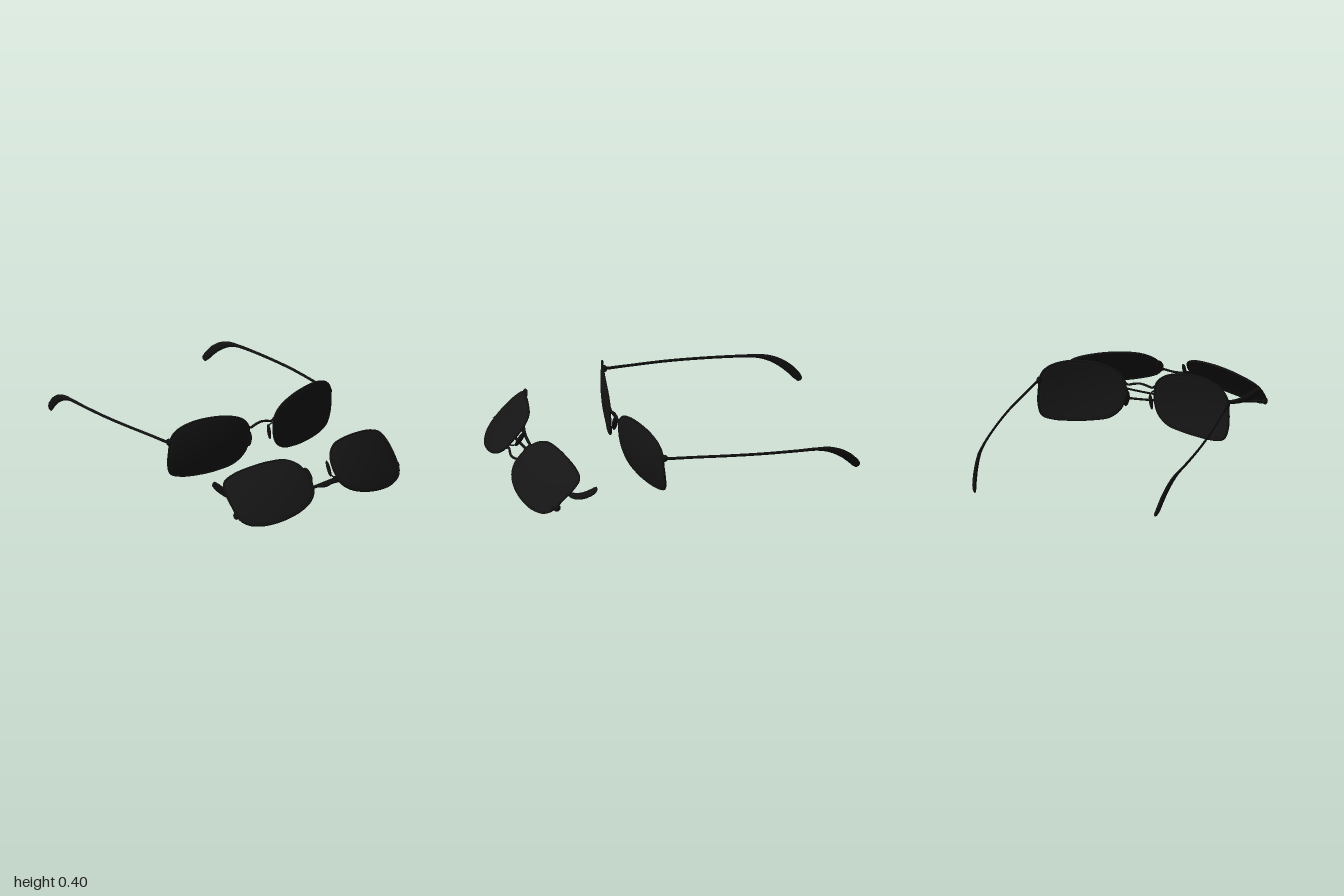
import * as THREE from 'three';

const frameMat = new THREE.MeshStandardMaterial({ color: 0x111111 });
const lensMat = new THREE.MeshStandardMaterial({ color: 0x151515 });
const V = (x, y, z) => new THREE.Vector3(x, y, z);

function mesh(name, geometry, material = frameMat) {
  const m = new THREE.Mesh(geometry, material);
  m.name = name;
  return m;
}

// Surface through rows of closed cross-sections
function loft(rows, cols, point, flip = false) {
  const pos = [], idx = [];
  for (let i = 0; i < rows; i++) {
    for (let j = 0; j < cols; j++) {
      pos.push(...point(i, j).toArray());
      if (i === rows - 1) continue;
      const k = (j + 1) % cols;
      const a = i * cols + j, b = a + cols, c = (i + 1) * cols + k, d = i * cols + k;
      idx.push(...(flip ? [a, c, b, a, d, c] : [a, b, c, a, c, d]));
    }
  }
  const g = new THREE.BufferGeometry();
  g.setAttribute('position', new THREE.Float32BufferAttribute(pos, 3));
  g.setIndex(idx);
  g.computeVertexNormals();
  return g;
}

function wire(points, radius, segments = 24) {
  return new THREE.TubeGeometry(new THREE.CatmullRomCurve3(points), segments, radius, 8);
}

// Wrapped, slightly tilted lens surface, x measured outward from the nose
function lensZ(x, y) {
  const t = (x - 0.1) / 0.47, h = y - 0.21;
  return 0.306 - 0.012 * t - 0.095 * t * t + 0.07 * h - 0.6 * h * h;
}

const OUTLINE = [
  [0.088, 0.22], [0.098, 0.29], [0.14, 0.338], [0.23, 0.375], [0.35, 0.389],
  [0.45, 0.379], [0.53, 0.345], [0.566, 0.3], [0.577, 0.22], [0.575, 0.12],
  [0.553, 0.062], [0.49, 0.039], [0.38, 0.034], [0.27, 0.042], [0.175, 0.064],
  [0.116, 0.115], [0.094, 0.17],
];
const rimPath = (s) => new THREE.CatmullRomCurve3(
  OUTLINE.map(([x, y]) => V(s * x, y, lensZ(x, y))), true);

// Domed lens with a front and a back skin meeting at the rim
function lens(s) {
  const N = 10, M = 64, edge = rimPath(s).getPoints(M);
  const c = V(s * 0.34, 0.21, 0);
  return loft(2 * N + 2, M, (i, j) => {
    const front = i <= N, r = (front ? i : 2 * N + 1 - i) / N;
    const x = c.x + (edge[j].x - c.x) * r, y = c.y + (edge[j].y - c.y) * r;
    return V(x, y, lensZ(Math.abs(x), y) + (front ? 0.004 : -0.004));
  }, s > 0);
}

// Temple stations relative to the hinge: x, y, z, half width, half height
const TEMPLE = [
  [0.002, 0.0, 0.0, 0.005, 0.01], [0.014, -0.01, -0.16, 0.005, 0.009],
  [0.031, -0.026, -0.38, 0.005, 0.009], [0.036, -0.043, -0.58, 0.005, 0.009],
  [0.03, -0.061, -0.79, 0.006, 0.009], [0.021, -0.073, -0.91, 0.007, 0.01],
  [0.014, -0.09, -0.985, 0.009, 0.017], [0.005, -0.122, -1.05, 0.01, 0.022],
  [-0.005, -0.166, -1.107, 0.011, 0.025], [-0.016, -0.218, -1.154, 0.011, 0.024],
  [-0.024, -0.243, -1.173, 0.008, 0.017], [-0.026, -0.25, -1.178, 0.001, 0.001],
];

function temple(s) {
  const path = new THREE.CatmullRomCurve3(TEMPLE.map(([x, y, z]) => V(s * x, y, z)));
  const S = 5, last = TEMPLE.length - 1, X = V(1, 0, 0);
  return loft(S * last + 1, 12, (i, j) => {
    const u = i / (S * last), k = Math.min(Math.floor(i / S), last - 1), f = i / S - k;
    const up = X.clone().cross(path.getTangent(u)).normalize();
    const [rx, ry] = [3, 4].map((n) => THREE.MathUtils.lerp(TEMPLE[k][n], TEMPLE[k + 1][n], f));
    const a = (j / 12) * Math.PI * 2;
    return path.getPoint(u).addScaledVector(X, rx * Math.cos(a)).addScaledVector(up, ry * Math.sin(a));
  });
}

// Smooth ellipsoid lump
function lump(name, position, scale) {
  const m = mesh(name, new THREE.SphereGeometry(1, 16, 12));
  m.position.set(...position);
  m.scale.set(...scale);
  return m;
}

// One pair of glasses; poses give [fold, lift] angles of the +x and -x temples
function glasses(name, poses) {
  const g = new THREE.Group();
  g.name = name;
  [1, -1].forEach((s, n) => {
    const side = s > 0 ? 'left' : 'right';
    g.add(mesh(side + 'Lens', lens(s), lensMat));
    g.add(mesh(side + 'Rim', new THREE.TubeGeometry(rimPath(s), 96, 0.007, 8, true)));

    // Nose pad on its bent wire, splayed towards the back
    const pad = lump(side + 'NosePad', [s * 0.074, 0.188, 0.282], [0.011, 0.048, 0.022]);
    pad.rotation.set(0, -s * 0.5, s * 0.12);
    g.add(pad);
    g.add(mesh(side + 'PadWire', wire([
      V(s * 0.095, 0.25, 0.305), V(s * 0.078, 0.246, 0.296),
      V(s * 0.07, 0.225, 0.284), V(s * 0.074, 0.19, 0.282)], 0.004, 12)));

    // Rounded end piece carrying the hinge
    g.add(mesh(side + 'EndPiece', wire([
      V(s * 0.562, 0.285, 0.21), V(s * 0.573, 0.278, 0.2), V(s * 0.576, 0.27, 0.18)], 0.01, 10)));
    g.add(lump(side + 'Hinge', [s * 0.574, 0.27, 0.188], [0.014, 0.022, 0.019]));

    const arm = mesh(side + 'Temple', temple(s));
    arm.position.set(s * 0.575, 0.269, 0.19);
    arm.rotation.order = 'YXZ';
    arm.rotation.set(poses[n][1], s * poses[n][0], 0);
    g.add(arm);
  });

  // Arched bridge
  g.add(mesh('bridge', wire([
    V(-0.1, 0.285, 0.306), V(-0.075, 0.266, 0.304), V(-0.04, 0.275, 0.303), V(0, 0.282, 0.303),
    V(0.04, 0.275, 0.303), V(0.075, 0.266, 0.304), V(0.1, 0.285, 0.306)], 0.007, 32)));
  return g;
}

export function createModel() {
  const model = new THREE.Group();
  model.name = 'sunglasses';

  // Open pair
  model.add(glasses('openGlasses', [[0, 0], [0, 0]]));

  // Folded pair lying upside down in front
  const folded = glasses('foldedGlasses', [[1.454, 0.018], [1.51, 0.016]]);
  folded.rotation.set(-0.7, 0, Math.PI);
  folded.position.set(0, 0.136, 0.517);
  model.add(folded);
  return model;
}
